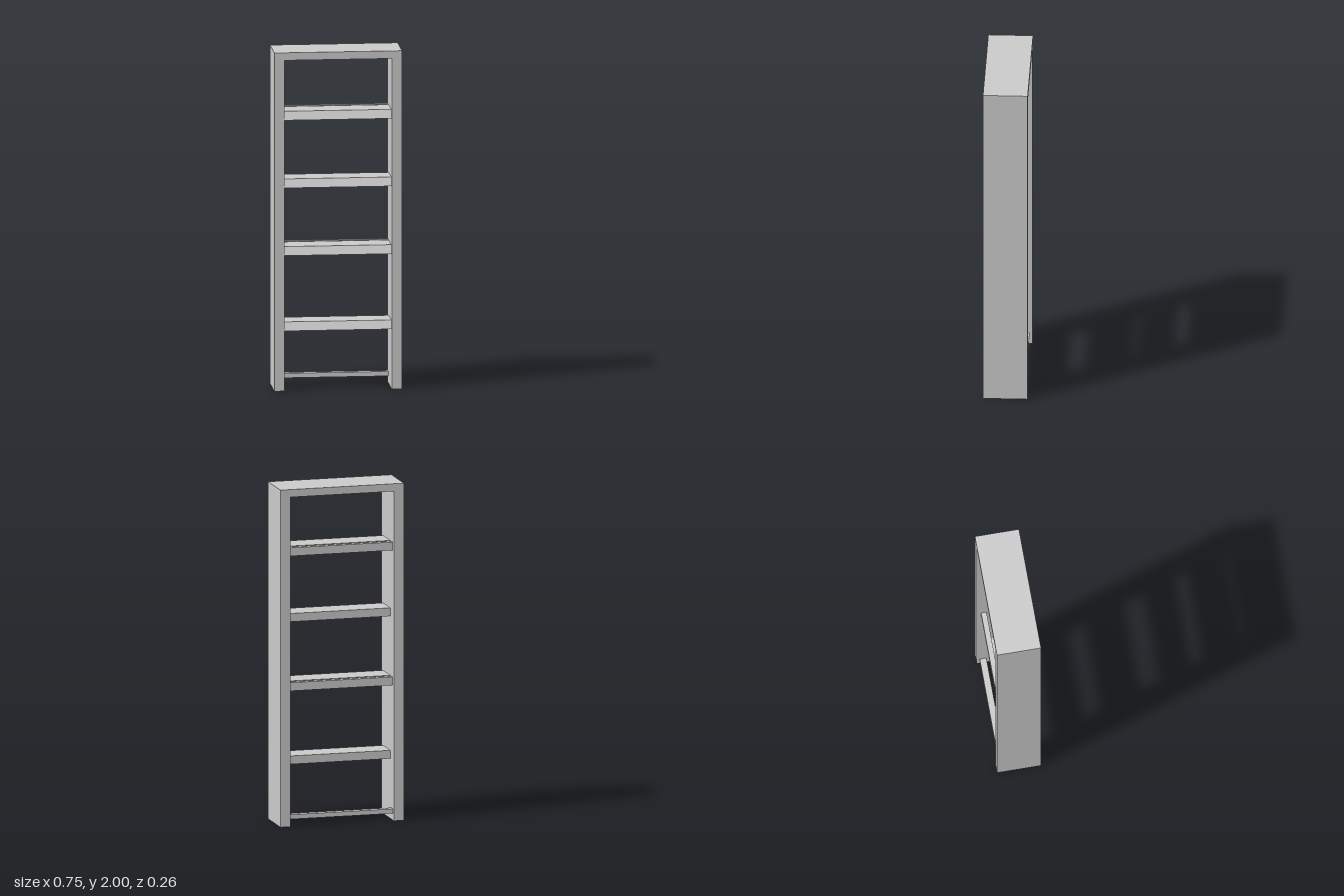
import * as THREE from 'three';

const material = new THREE.MeshStandardMaterial({ color: 0xcccccc, flatShading: true });
const W = 0.373, INNER = 0.313, H = 2, DEPTH = 0.26, TOP = 0.045;

// Bar along x between the posts, from a cross-section of [z, y] points
function bar(name, section) {
  const shape = new THREE.Shape(section.map(([z, y]) => new THREE.Vector2(-z, y)));
  const geometry = new THREE.ExtrudeGeometry(shape, { depth: INNER * 2, bevelEnabled: false });
  geometry.rotateY(Math.PI / 2).translate(-INNER, 0, 0);
  const mesh = new THREE.Mesh(geometry, material);
  mesh.name = name;
  return mesh;
}

const strip = (name, z0, z1, y0, y1) => bar(name, [[z0, y0], [z1, y0], [z1, y1], [z0, y1]]);

export function createModel() {
  const group = new THREE.Group();
  group.name = 'shelfFrame';

  // Side posts and top board as one upside-down U
  const outline = new THREE.Shape([
    [-W, 0], [-INNER, 0], [-INNER, H - TOP], [INNER, H - TOP],
    [INNER, 0], [W, 0], [W, H], [-W, H],
  ].map(([x, y]) => new THREE.Vector2(x, y)));
  const frameGeometry = new THREE.ExtrudeGeometry(outline, { depth: DEPTH, bevelEnabled: false });
  frameGeometry.translate(0, 0, -DEPTH / 2);
  const frame = new THREE.Mesh(frameGeometry, material);
  frame.name = 'frame';
  group.add(frame);

  // Shelves with a sloping front edge; every second one has a rail behind it
  [[0.355, false], [0.8, true], [1.2, false], [1.6, true]].forEach(([y, hasRail], i) => {
    const top = y + 0.049;
    group.add(bar(`shelf${i + 1}`, [[-0.054, y], [0.127, y], [0.1, top], [-0.054, top]]));
    if (hasRail) group.add(strip(`backRail${i + 1}`, -0.104, -0.072, y, top));
  });

  // Thin rail at the foot
  group.add(strip('footRail', -0.112, -0.073, 0.041, 0.068));
  return group;
}
